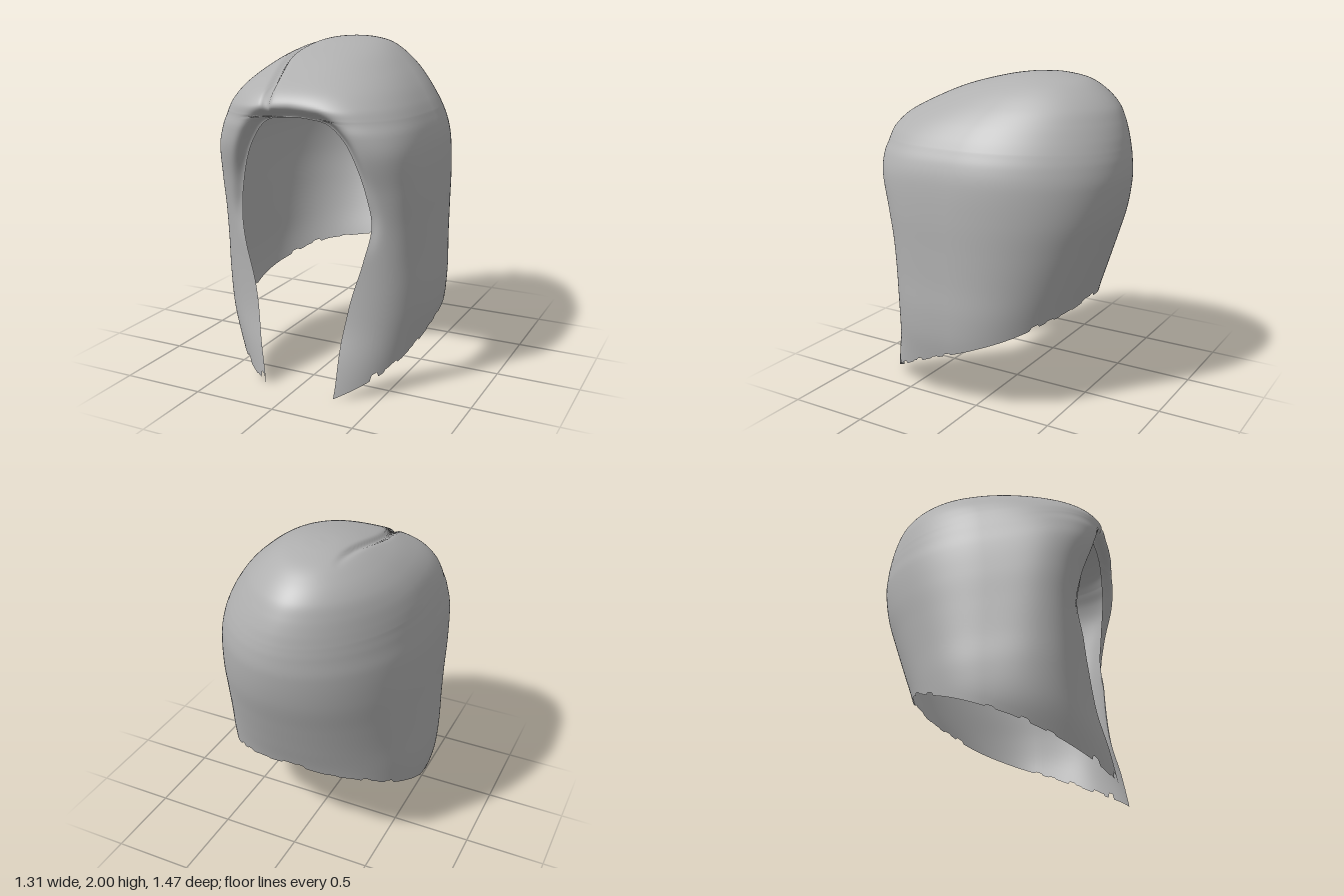
import * as THREE from 'three';
import { mergeVertices } from 'three/addons/utils/BufferGeometryUtils.js';

// Horizontal rings: y, half width, front z, back z, centre z, front squareness, back squareness, half width of face opening
const RINGS = [
  [-0.02, 0.52, 0.77, -0.40, 0.10, 2.7, 2.1, 0.22],
  [0.20, 0.59, 0.725, -0.42, 0.10, 2.8, 2.1, 0.25],
  [0.40, 0.642, 0.67, -0.45, 0.10, 3.0, 2.15, 0.28],
  [0.60, 0.655, 0.645, -0.49, 0.10, 3.3, 2.2, 0.32],
  [0.80, 0.648, 0.635, -0.56, 0.10, 3.7, 2.15, 0.38],
  [1.00, 0.645, 0.635, -0.63, 0.10, 4.1, 2.1, 0.42],
  [1.20, 0.643, 0.66, -0.695, 0.10, 4.4, 2.05, 0.39],
  [1.40, 0.63, 0.715, -0.73, 0.08, 4.3, 1.97, 0.325],
  [1.52, 0.605, 0.737, -0.727, 0.065, 3.8, 1.92, 0.25],
  [1.58, 0.585, 0.74, -0.718, 0.055, 3.4, 1.9, 0.17],
  [1.60, 0.578, 0.742, -0.714, 0.05, 3.3, 1.89, 0],
  [1.66, 0.55, 0.74, -0.70, 0.035, 3.0, 1.87, 0],
  [1.74, 0.50, 0.675, -0.672, 0.0, 2.7, 1.87, 0],
  [1.82, 0.43, 0.53, -0.63, -0.05, 2.5, 1.9, 0],
  [1.90, 0.335, 0.34, -0.55, -0.10, 2.3, 1.95, 0],
  [1.96, 0.23, 0.12, -0.45, -0.15, 2.1, 2, 0],
  [1.99, 0.12, -0.05, -0.32, -0.18, 2, 2, 0],
  [2.00, 0, -0.20, -0.20, -0.20, 2, 2, 0],
];
const OPEN_RING = 10, LAST = RINGS.length - 1;
// Hem height from the middle of the back to the front lock tip
const HEM = [0.64, 0.58, 0.45, 0.31, 0.15, 0.0];

const smooth = THREE.MathUtils.smoothstep;

// Knots follow the length of the side profile; the opening is blended by its square so its top is round
const KNOTS = [0];
for (let i = 1; i <= LAST; i++) {
  const p = RINGS[i - 1], q = RINGS[i];
  KNOTS.push(KNOTS[i - 1] + Math.hypot(q[0] - p[0], q[1] - p[1]));
}
const OPEN = KNOTS[OPEN_RING], TOP = KNOTS[LAST];
const VALUES = RINGS.map((r) => [...r.slice(0, 7), r[7] * r[7]]);

function slope(i, c) {
  const a = Math.max(i - 1, 0), b = Math.min(i + 1, LAST);
  return (VALUES[b][c] - VALUES[a][c]) / (KNOTS[b] - KNOTS[a]);
}

function ringAt(t) {
  let i = 0;
  while (i < LAST - 1 && t > KNOTS[i + 1]) i++;
  const h = KNOTS[i + 1] - KNOTS[i], f = (t - KNOTS[i]) / h;
  const ring = VALUES[i].map((p, c) => {
    const q = VALUES[i + 1][c], m = slope(i, c) * h, n = slope(i + 1, c) * h;
    return p + f * (m + f * (3 * (q - p) - 2 * m - n + f * (2 * (p - q) + m + n)));
  });
  ring[7] = t < OPEN ? Math.sqrt(Math.max(0, ring[7])) : 0;
  return ring;
}

function levelOf(y) {
  let lo = 0, hi = OPEN;
  for (let k = 0; k < 30; k++) {
    const mid = (lo + hi) / 2;
    if (ringAt(mid)[0] < y) lo = mid; else hi = mid;
  }
  return lo;
}

// Edge of the face opening, used to roll the lip inwards
const edge = [];
for (let k = 0; k <= 120; k++) {
  const r = ringAt((1 - (1 - k / 120) ** 2) * OPEN);
  edge.push([r[7], r[0]]);
}
function lipDistance(x, y) {
  let best = 9;
  for (const [ex, ey] of edge) best = Math.min(best, Math.hypot(Math.abs(x) - ex, y - ey));
  return best;
}

// Centre line of the parting, x as a function of z
function partingX(z) {
  return -0.275 + 0.11 * smooth(z, 0.15, 0.75) + 0.055 * smooth(-z, -0.15, 0.4);
}

function hairPoint(s, t) {
  const [y, a, zf, zb, z0, nFront, nBack, open] = ringAt(t);
  const front = zf - z0, back = z0 - zb;
  let gap = 0;
  if (open > 0) {
    const q = Math.min(open / a, 0.99);
    gap = Math.atan2(open, front * Math.pow(1 - Math.pow(q, nFront), 1 / nFront));
  }
  const angle = s * Math.PI - gap * s ** 3; // only the front columns follow the opening
  const sx = Math.sin(angle), cz = -Math.cos(angle);
  const p = new THREE.Vector3(0, y, z0);
  if (a > 1e-4) {
    const e = cz > 0 ? nFront : nBack, d = cz > 0 ? front : back;
    const r = Math.pow(Math.pow(Math.abs(sx) / a, e) + Math.pow(Math.abs(cz) / d, e), -1 / e);
    p.x = sx * r;
    p.z = z0 + cz * r;
  }
  // rolled lip round the face
  if (p.z > 0.3 && y > 0.8) {
    const d = lipDistance(p.x, y) / 0.045;
    const roll = 0.03 * smooth(y, 0.8, 1.1) + 0.05 * smooth(y, 1.1, 1.55);
    p.z -= roll * Math.exp(-d * d);
  }
  // crown sits a little to the right, lock tips a little to the left
  p.x += 0.03 * (1 - smooth(y, 0, 0.4)) - 0.05 * smooth(y, 1.45, 1.9);
  // parting groove
  if (y > 1.59) {
    const d = (p.x - partingX(p.z)) / 0.02;
    const depth = 0.022 * Math.exp(-d * d) * smooth(p.z, -0.4, -0.15);
    p.addScaledVector(new THREE.Vector3(p.x, p.y - 1.2, p.z).normalize(), -depth);
  }
  return p;
}

function hairGeometry() {
  const cols = 300, low = 44, high = 60, rows = low + high;
  let seed = 7;
  const rand = () => (seed = (seed * 16807) % 2147483647) / 2147483647;
  const pos = [], index = [];
  let jag = 0;
  for (let j = 0; j <= cols; j++) {
    const s = (j / cols) * 2 - 1;
    // ragged hem, one notch every few columns
    if (j % 4 === 0) jag = rand() < 0.35 ? rand() * (0.02 + 0.04 * s ** 6) : 0;
    const h = Math.min(Math.abs(s) * 5, 4.999), k = Math.floor(h);
    const hem = HEM[k] + (HEM[k + 1] - HEM[k]) * (h - k) + (j % cols ? jag : 0);
    const t0 = levelOf(hem);
    for (let i = 0; i <= rows; i++) {
      const t = i <= low
        ? t0 + (OPEN - t0) * (1 - Math.pow(1 - i / low, 1.5))
        : OPEN + (TOP - OPEN) * Math.pow((i - low) / high, 1.15);
      const p = hairPoint(s, t);
      pos.push(p.x, p.y, p.z);
    }
  }
  for (let j = 0; j < cols; j++) {
    for (let i = 0; i < rows; i++) {
      const a = j * (rows + 1) + i, b = a + rows + 1;
      index.push(a, a + 1, b, b, a + 1, b + 1);
    }
  }
  let g = new THREE.BufferGeometry();
  g.setAttribute('position', new THREE.Float32BufferAttribute(pos, 3));
  g.setIndex(index);
  g = mergeVertices(g, 1e-4);
  g.computeVertexNormals();
  return g;
}

export function createModel() {
  const group = new THREE.Group();
  group.name = 'hair';
  const grey = new THREE.MeshStandardMaterial({ color: 0xb0b0b0, side: THREE.DoubleSide });
  grey.name = 'hair grey';
  const shell = new THREE.Mesh(hairGeometry(), grey);
  shell.name = 'hairShell';
  group.add(shell);
  return group;
}
